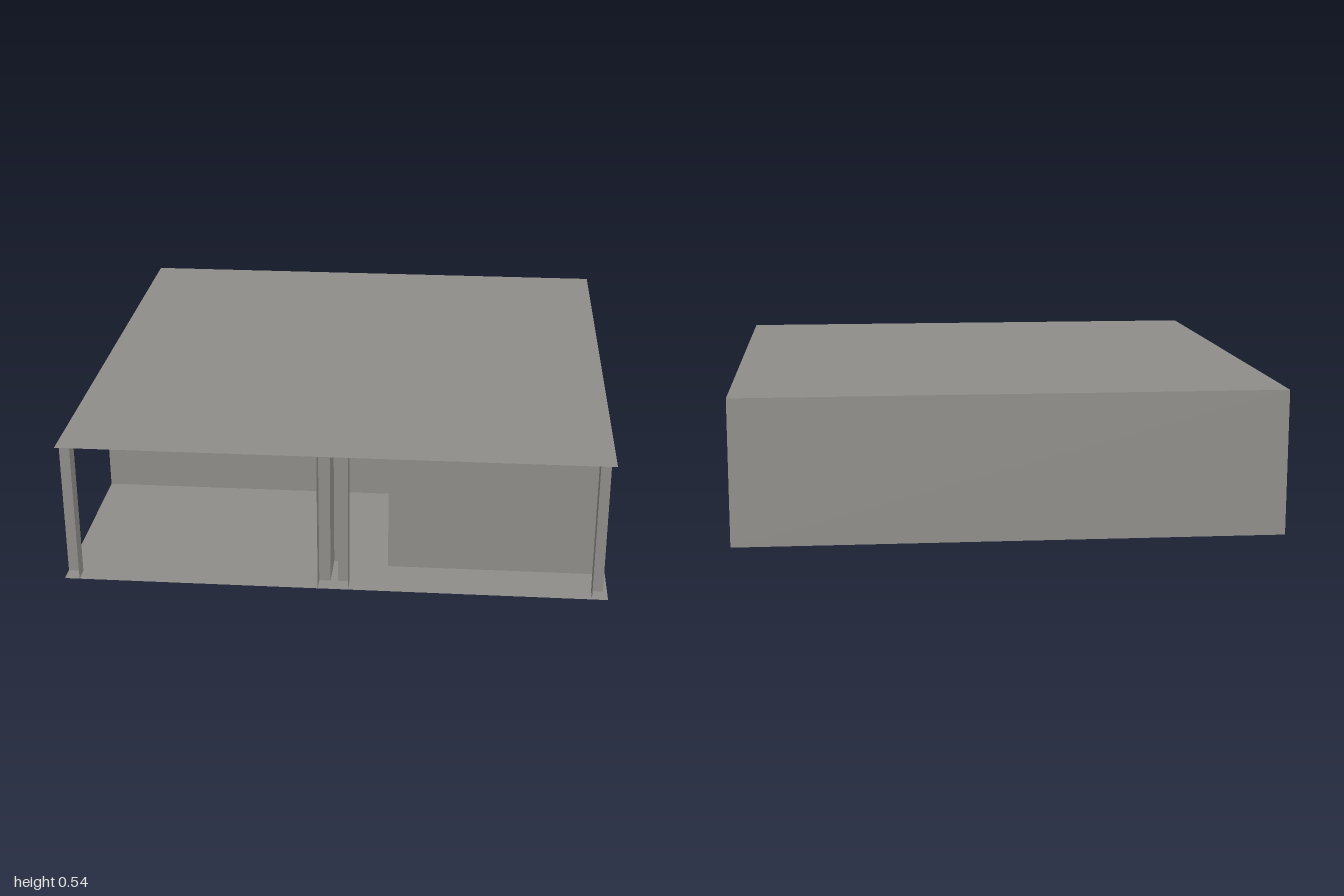
import * as THREE from 'three';

const H = 0.535;

export function createModel() {
  const model = new THREE.Group();
  model.name = 'pavilion';
  const concrete = new THREE.MeshStandardMaterial({ color: 0x8f8d89, side: THREE.DoubleSide });
  concrete.name = 'concrete';

  const add = (geometry, name) => {
    const mesh = new THREE.Mesh(geometry, concrete);
    mesh.name = name;
    model.add(mesh);
    return mesh;
  };

  // Full-height shell standing on a plan outline of [x, z] points
  function shell(name, plan) {
    const pos = [];
    for (let i = 0; i < plan.length - 1; i++) {
      const [ax, az] = plan[i], [bx, bz] = plan[i + 1];
      pos.push(ax, 0, az, bx, 0, bz, bx, H, bz, ax, 0, az, bx, H, bz, ax, H, az);
    }
    const g = new THREE.BufferGeometry();
    g.setAttribute('position', new THREE.Float32BufferAttribute(pos, 3));
    g.computeVertexNormals();
    return add(g, name);
  }

  // Floor and roof slabs
  for (const [name, y, turn] of [['floor', 0, -1], ['roof', H, -1]]) {
    const slab = add(new THREE.PlaneGeometry(2, 2), name);
    slab.rotation.x = turn * Math.PI / 2;
    slab.position.y = y;
  }

  // Closed back and the full-width partition in front of it
  shell('backWall', [[1, -1], [-1, -1]]);
  shell('rearPartitionBack', [[1, -0.41], [-1, -0.41]]);
  shell('rearPartitionFront', [[-1, -0.39], [1, -0.39]]);

  // Partition running in from the right side
  shell('middlePartition', [[-1, 0.215], [0.2, 0.215], [0.2, 0.19], [-1, 0.19]]);

  // Columns cut off by the edge of the slabs
  shell('cornerColumnRight', [[-0.945, 1], [-0.945, 0.94], [-1, 0.94]]);
  shell('sideColumnRight', [[-1, 0.058], [-0.945, 0.058], [-0.945, -0.055], [-1, -0.055]]);

  // Front column with a short fin behind it
  shell('frontColumn', [
    [-0.057, 1], [-0.057, 0.94], [-0.015, 0.94], [-0.015, 0.79],
    [0.012, 0.79], [0.012, 0.94], [0.055, 0.94], [0.055, 1],
  ]);

  // Left corner column joined to the front screen wall
  shell('cornerColumnAndScreen', [
    [0.942, 1], [0.942, 0.94], [0.985, 0.94], [0.985, 0.815],
    [0.19, 0.815], [0.19, 0.79], [1, 0.79],
  ]);

  // Left side column, the wall running inward and the centre column
  shell('sideColumnAndWall', [
    [1, 0.058], [0.942, 0.058], [0.942, 0.014], [0.055, 0.014], [0.055, 0.058],
    [-0.055, 0.058], [-0.055, -0.055], [0.055, -0.055], [0.055, -0.012],
    [0.942, -0.012], [0.942, -0.055], [1, -0.055],
  ]);

  return model;
}
